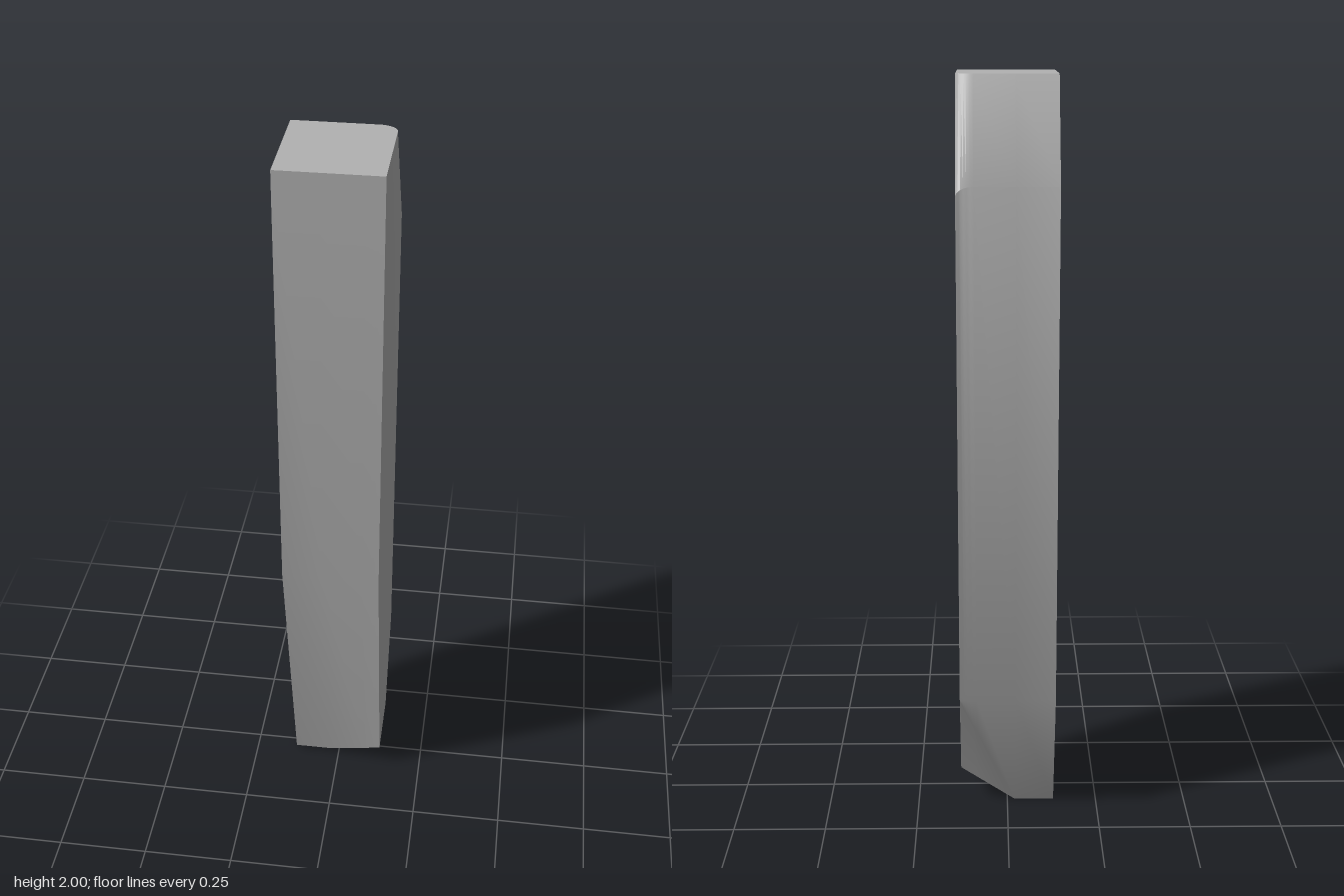
import * as THREE from 'three';
import { toCreasedNormals } from 'three/addons/utils/BufferGeometryUtils.js';

const lerp = THREE.MathUtils.lerp;
const HALF = 0.13;      // half width
const CUT = -0.02;      // where the slanted tip cut begins
const ROUND = 0.045;    // width of the rounded corner on the rear top bevel

// Side outline [z, y] at a given x: down the front, along the tip, up the back
function outline(x) {
  const t = Math.max(0, (x - CUT) / (HALF - CUT));
  const s = THREE.MathUtils.clamp((x - (HALF - ROUND)) / ROUND, 0, 1);
  const drop = 1 - Math.sqrt(1 - s * s);
  return [
    [0.205, 2],
    [0.205, 0.83],
    [lerp(0.04, 0.08, t), lerp(0.012, 0.077, t)],
    [-0.09, lerp(0, 0.1, t)],
    [lerp(-0.09, -0.205, t), lerp(0, 0.36, t)], // ridge of the tip cut
    [-0.205, 0.36],
    [-0.205, 1.735 - 0.025 * drop],
    [-0.078 + 0.035 * drop, 2],
  ].map(([z, y]) => new THREE.Vector3(x, y, z));
}

function buildBody() {
  const xs = [-HALF, CUT];
  const steps = 8;
  for (let i = 0; i <= steps; i++) {
    xs.push(HALF - ROUND + ROUND * Math.sin((i / steps) * Math.PI / 2));
  }
  const rings = xs.map(outline);
  const positions = [];
  const tri = (a, b, c) => {
    const area = b.clone().sub(a).cross(c.clone().sub(a)).length();
    if (area > 1e-8) for (const p of [a, b, c]) positions.push(p.x, p.y, p.z);
  };

  // Skin between neighbouring outlines
  const n = rings[0].length;
  for (let i = 0; i < rings.length - 1; i++) {
    for (let j = 0; j < n; j++) {
      const k = (j + 1) % n;
      const a = rings[i][j], b = rings[i][k], c = rings[i + 1][k], d = rings[i + 1][j];
      tri(a, b, c);
      tri(a, c, d);
    }
  }

  // Flat side faces
  const left = rings[rings.length - 1], right = rings[0];
  for (let j = 1; j < n - 1; j++) {
    tri(left[0], left[j], left[j + 1]);
    tri(right[0], right[j + 1], right[j]);
  }

  const geometry = new THREE.BufferGeometry();
  geometry.setAttribute('position', new THREE.Float32BufferAttribute(positions, 3));
  return toCreasedNormals(geometry, 0.55);
}

export function createModel() {
  const group = new THREE.Group();
  group.name = 'taperedBlock';
  const grey = new THREE.MeshStandardMaterial({ color: 0xb2b2b2 });
  grey.name = 'grey';
  const body = new THREE.Mesh(buildBody(), grey);
  body.name = 'body';
  group.add(body);
  return group;
}
